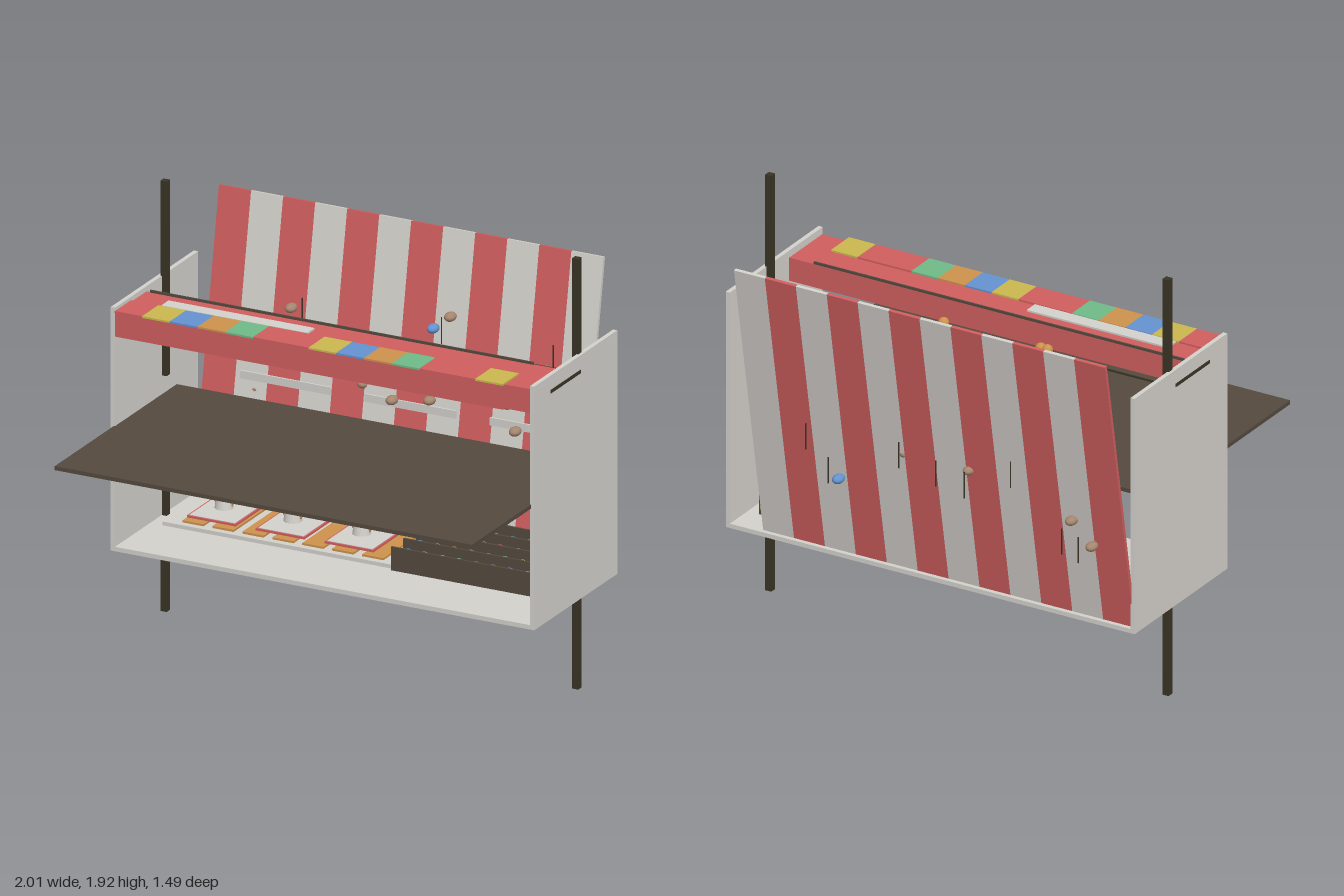
import * as THREE from 'three';

const mat = (name, color) => {
  const m = new THREE.MeshStandardMaterial({ color });
  m.name = name;
  return m;
};

export function createModel() {
  const red = mat('faded red', 0xd05e5e);
  const grey = mat('warm light grey', 0xd4d1cc);
  const wood = mat('dark wood', 0x544a3f);
  const poleWood = mat('pole wood', 0x3a3425);
  const yellow = mat('yellow', 0xcbb84f);
  const blue = mat('blue', 0x6492d0);
  const orange = mat('orange', 0xcd924c);
  const green = mat('green', 0x70ba88);
  const brown = mat('clay brown', 0xa5866f);

  const root = new THREE.Group();
  root.name = 'fairgroundStall';

  const add = (name, geometry, material, parent = root) => {
    const mesh = new THREE.Mesh(geometry, material);
    mesh.name = name;
    parent.add(mesh);
    return mesh;
  };
  // box given by its limits on each axis
  const box = (name, material, x0, x1, y0, y1, z0, z1, parent = root) => {
    const mesh = add(name, new THREE.BoxGeometry(x1 - x0, y1 - y0, z1 - z0), material, parent);
    mesh.position.set((x0 + x1) / 2, (y0 + y1) / 2, (z0 + z1) / 2);
    return mesh;
  };
  const group = (name) => {
    const g = new THREE.Group();
    g.name = name;
    root.add(g);
    return g;
  };

  // Body: floor, side walls, slots and two-piece poles
  box('floor', grey, -1, 1, 0.41, 0.43, -0.53, 0.215);
  for (const s of [-1, 1]) {
    const side = s < 0 ? 'right' : 'left';
    const wall = box(side + 'Wall', grey, -0.01, 0.01, 0.43, 1.5, -0.53, 0.215);
    wall.position.x = s * 0.99;
    const slot = box(side + 'Slot', poleWood, -0.003, 0.003, 1.421, 1.436, -0.2, 0.07);
    slot.position.x = s * 1.0;
    for (const [part, y0] of [['lowerPole', 0], ['upperPole', 1.055]]) {
      const pole = box(side + part, poleWood, -0.015, 0.015, y0, y0 + 0.87, -0.235, -0.205);
      pole.position.x = s * 0.972;
    }
  }

  // Counter running out past the front
  box('counter', wood, -0.985, 0.985, 0.952, 0.97, -0.34, 0.745);

  // Roof beam with a row of coloured tiles and a blank sign
  box('roofBeam', red, -0.98, 0.97, 1.37, 1.477, -0.07, 0.195);
  box('roofFront', red, -0.98, 0.852, 1.37, 1.477, 0.195, 0.213);
  const tiles = group('roofTiles');
  const tileColours = [yellow, blue, orange, green, red, red];
  for (let k = -1; k < 13; k++) {
    const x = -0.852 + k * 0.131;
    box('tile', tileColours[(k + 6) % 6], x, x + 0.131, 1.477, 1.485, 0.07, 0.215, tiles);
  }
  box('roofTrim', wood, -0.96, 0.85, 1.477, 1.488, -0.07, -0.063);
  box('roofSign', grey, -0.84, -0.15, 1.477, 1.485, 0, 0.065);
  box('crossRod', poleWood, -0.97, 0.97, 1.415, 1.422, -0.203, -0.196);
  for (const x of [-0.318, -0.285, 0.19]) {
    add('roofBall', new THREE.SphereGeometry(0.024, 14, 10), orange).position.set(x, 1.387, -0.11);
  }

  // Striped back panel, leaning backwards
  const panel = group('stripedPanel');
  panel.position.set(0, 0.425, -0.5);
  panel.rotation.x = -Math.atan2(0.235, 1.3);
  for (let i = 0; i < 12; i++) {
    const x = -0.985 + i * 0.15125;
    box('stripe', i % 2 ? grey : red, x, x + 0.15125, 0, 1.325, -0.008, 0.008, panel);
  }

  // Thin shelves on the panel
  for (const [x0, x1] of [[-0.81, -0.38], [-0.22, 0.21], [0.37, 0.8]]) {
    box('panelShelf', grey, x0, x1, 0.945, 0.98, -0.59, -0.582);
  }

  // Oval targets and short pins on the panel: x, y, z, colour
  const targets = [
    [-0.535, 1.33, -0.52, brown], [0.12, 1.345, -0.55, blue], [-0.46, 1.11, -0.565, blue],
    [0.65, 1.25, -0.55, brown], [0.49, 1.08, -0.52, brown], [-0.24, 1.015, -0.61, brown],
    [-0.08, 0.985, -0.56, brown], [0.085, 1.005, -0.585, brown], [-0.74, 0.905, -0.61, brown],
    [0.51, 0.955, -0.545, brown], [0.4, 0.815, -0.61, blue], [-0.84, 0.81, -0.61, brown],
    [0.175, 1.39, -0.6, brown],
  ];
  const targetGeo = new THREE.SphereGeometry(1, 16, 10);
  for (const [x, y, z, m] of targets) {
    const t = add('target', targetGeo, m);
    t.position.set(x, y, z);
    t.scale.set(0.025, 0.02, 0.034);
  }
  const pins = [
    [-0.535, 1.28, -0.62], [0.12, 1.31, -0.625], [0.65, 1.28, -0.62], [0.49, 1.13, -0.62],
    [0.53, 1.0, -0.66], [0.42, 0.87, -0.66], [0.08, 1.02, -0.65], [-0.1, 0.98, -0.65],
    [-0.24, 0.96, -0.65], [-0.46, 1.06, -0.64], [-0.73, 0.83, -0.67], [-0.81, 0.81, -0.67],
  ];
  for (const [x, y, z] of pins) {
    add('pin', new THREE.CylinderGeometry(0.003, 0.003, 0.12, 6), poleWood).position.set(x, y, z);
  }

  // Low board on the floor with orange slats
  box('floorBoard', grey, -0.92, 0.45, 0.43, 0.447, -0.5, -0.1);
  for (let i = 0; i < 10; i++) {
    const x = -0.843 + i * 0.1415;
    box('orangeSlat', orange, x, x + 0.1, 0.447, 0.456, -0.48, -0.13);
  }

  // Red-edged trays, each with a tapered cup and a ring
  for (let i = 0; i < 4; i++) {
    const x = -0.712 + i * 0.325;
    box('trayEdge', red, x - 0.115, x + 0.115, 0.469, 0.478, -0.37, -0.14);
    box('trayTop', grey, x - 0.107, x + 0.107, 0.478, 0.48, -0.362, -0.148);
    const cup = add('cup', new THREE.CylinderGeometry(0.026, 0.04, 0.09, 20), grey);
    cup.position.set(x, 0.54, -0.255);
    const ring = add('ring', new THREE.TorusGeometry(0.046, 0.005, 8, 28), orange);
    ring.position.set(x, 0.54, -0.255);
  }

  // Ball rack: upright slats with rows of balls between them
  const rack = group('ballRack');
  const rowColours = [
    [blue, orange, yellow, green, red, blue, blue, yellow],
    [blue, green, orange, green, blue, green, yellow, orange],
  ];
  const ballGeo = new THREE.SphereGeometry(0.03, 16, 12);
  for (let r = 0; r < 5; r++) {
    const z = -0.485 + r * 0.11;
    box('rackSlat', wood, 0.21, 0.885, 0.465, 0.57, z + 0.035, z + 0.045, rack);
    rowColours[r % 2].forEach((m, i) => {
      add('ball', ballGeo, m, rack).position.set(0.262 + i * 0.0805, 0.525, z);
    });
  }

  return root;
}
